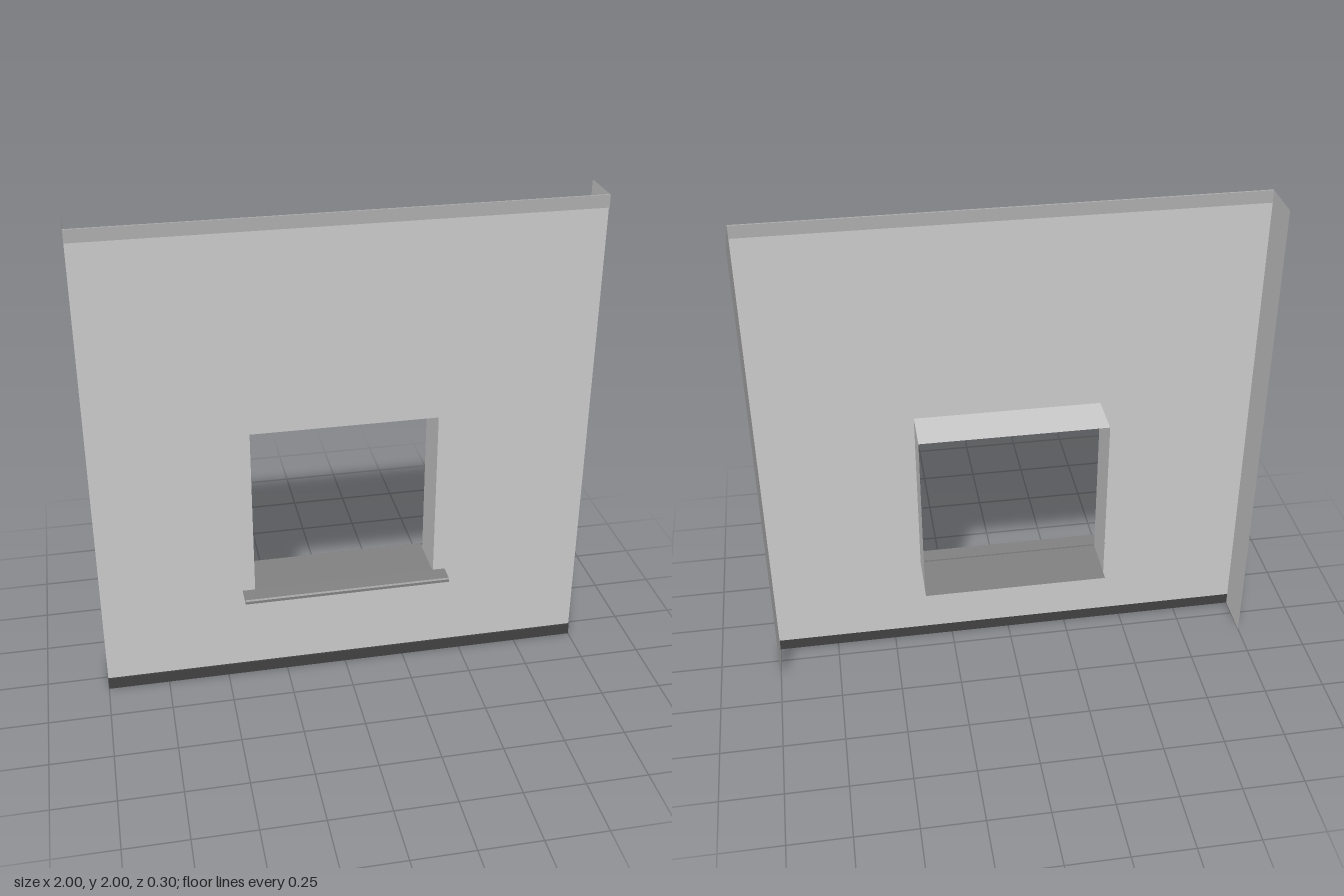
import * as THREE from 'three';

const WALL_Z = 0.073, BACK_Z = -0.11;
const HALF = 0.375, SILL_Y = 0.405, HEAD_Y = 1.13;

function material(color) {
  return new THREE.MeshStandardMaterial({ color, side: THREE.DoubleSide });
}

export function createModel() {
  const group = new THREE.Group();
  const grey = material(0xcccccc);
  const sillGrey = material(0x828282);

  function add(name, geometry, mat, x = 0, y = 0, z = 0) {
    const mesh = new THREE.Mesh(geometry, mat);
    mesh.name = name;
    mesh.position.set(x, y, z);
    group.add(mesh);
    return mesh;
  }

  // Thin wall sheet with the window opening
  const wall = new THREE.Shape([[-1, 0.05], [1, 0.05], [1, 1.95], [-1, 1.95]]
    .map(([x, y]) => new THREE.Vector2(x, y)));
  wall.holes.push(new THREE.Path([[-HALF, SILL_Y], [-HALF, HEAD_Y], [HALF, HEAD_Y], [HALF, SILL_Y]]
    .map(([x, y]) => new THREE.Vector2(x, y))));
  add('wall', new THREE.ShapeGeometry(wall), grey, 0, 0, WALL_Z);

  // Side returns and window jambs, mirrored
  const depth = WALL_Z - BACK_Z, midZ = (WALL_Z + BACK_Z) / 2;
  for (const [side, s] of [['left', 1], ['right', -1]]) {
    add(side + 'Return', new THREE.PlaneGeometry(depth, 2).rotateY(s * Math.PI / 2), grey, s, 1, midZ);
    add(side + 'Jamb', new THREE.PlaneGeometry(depth, HEAD_Y - SILL_Y).rotateY(-s * Math.PI / 2),
      grey, s * HALF, (HEAD_Y + SILL_Y) / 2, midZ);
  }

  // Window head, normal facing up
  add('windowHead', new THREE.PlaneGeometry(2 * HALF, depth).rotateX(-Math.PI / 2), grey, 0, HEAD_Y, midZ);

  // Top trim and dark base trim, standing slightly proud of the wall
  const strip = new THREE.BoxGeometry(2, 0.05, 0.007);
  add('topTrim', strip, material(0xaeaeae), 0, 1.975, WALL_Z + 0.0035);
  add('baseTrim', strip, material(0x424242), 0, 0.025, WALL_Z + 0.0035);

  // Inner sill sheet running out past the back of the jambs
  add('innerSill', new THREE.PlaneGeometry(2 * HALF, WALL_Z + 0.148).rotateX(-Math.PI / 2),
    sillGrey, 0, SILL_Y, (WALL_Z - 0.148) / 2);

  // Outer sill with a small downturned nose, extruded along x
  const nose = new THREE.Shape();
  nose.moveTo(WALL_Z, 0.404);
  nose.lineTo(0.138, 0.402);
  nose.lineTo(0.14, 0.394);
  nose.lineTo(0.147, 0.394);
  nose.lineTo(0.147, 0.406);
  nose.lineTo(0.141, 0.411);
  nose.lineTo(WALL_Z, 0.412);
  nose.closePath();
  const sill = new THREE.ExtrudeGeometry(nose, { depth: 0.85, bevelEnabled: false });
  sill.rotateY(-Math.PI / 2).translate(0.425, 0, 0);
  add('outerSill', sill, sillGrey);

  return group;
}
